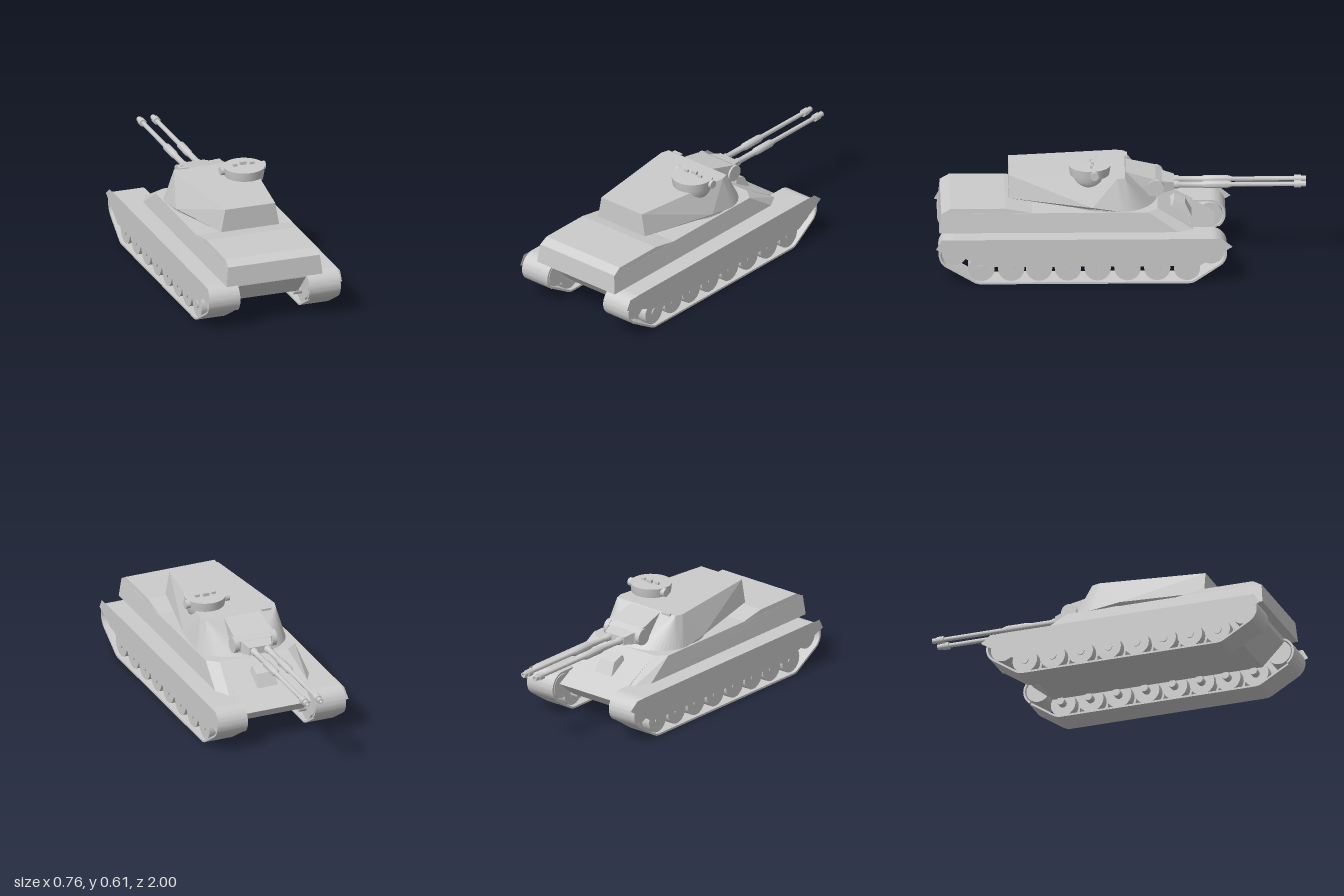
import * as THREE from 'three';
import { toCreasedNormals } from 'three/addons/utils/BufferGeometryUtils.js';
import { ConvexGeometry } from 'three/addons/geometries/ConvexGeometry.js';

const mat = new THREE.MeshStandardMaterial({ color: 0xcccccc });
const sheetMat = new THREE.MeshStandardMaterial({ color: 0xcccccc, side: THREE.DoubleSide });

export function createModel() {
  const model = new THREE.Group();

  const add = (name, geo, parent = model, material = mat) => {
    const mesh = new THREE.Mesh(geo, material);
    mesh.name = name;
    parent.add(mesh);
    return mesh;
  };
  // Faceted solid, mirrored across x, from [half width, y, z] corners
  const solid = (name, corners, parent) => add(name, new ConvexGeometry(
    corners.flatMap(([x, y, z]) => [new THREE.Vector3(x, y, z), new THREE.Vector3(-x, y, z)])), parent);
  // Side profile in (z, y) extruded from x0 to x1
  const slab = (shape, x0, x1) => toCreasedNormals(
    new THREE.ExtrudeGeometry(shape, { depth: x1 - x0, bevelEnabled: false, curveSegments: 14 })
      .rotateY(-Math.PI / 2).translate(x1, 0, 0), 0.6);
  const axle = (r, x0, x1, y, z, sides = 20) =>
    new THREE.CylinderGeometry(r, r, x1 - x0, sides).rotateZ(Math.PI / 2).translate((x0 + x1) / 2, y, z);
  const box = (w, h, d, x, y, z) => new THREE.BoxGeometry(w, h, d).translate(x, y, z);

  // Hull
  solid('lowerHull', [
    [0.2, 0.1, -0.4], [0.2, 0.19, -0.51], [0.2, 0.27, -0.37], [0.2, 0.1, 0.8],
    [0.2, 0.225, 0.92], [0.2, 0.27, 0.92]]);
  solid('upperHull', [
    [0.275, 0.255, 0.975], [0.263, 0.362, 0.965], [0.262, 0.365, 0.46],
    [0.275, 0.255, -0.31], [0.23, 0.255, -0.39], [0.262, 0.365, -0.15], [0.2, 0.365, -0.2]]);
  solid('engineDeck', [
    [0.263, 0.36, 0.965], [0.26, 0.39, 0.915], [0.26, 0.39, 0.62], [0.262, 0.362, 0.46]]);
  solid('glacisPlate', [
    [0.2, 0.365, -0.2], [0.2, 0.19, -0.51], [0.2, 0.25, -0.2]]);
  solid('driverHood', [
    [0.045, 0.34, -0.27], [0.05, 0.355, -0.29], [0.05, 0.33, -0.35],
    [0.06, 0.262, -0.385], [0.06, 0.3, -0.27]]);

  // Running gear
  const R = 0.085, rear = [0.895, 0.17], front = [-0.485, 0.17];
  const deg = Math.PI / 180;
  const loop = (path, r) => {
    path.absarc(0.75, R, r, -90 * deg, -60 * deg);
    path.absarc(...rear, r, -60 * deg, 90 * deg);
    path.absarc(...front, r, 90 * deg, 235 * deg);
    path.absarc(-0.36, R, r, 235 * deg, 270 * deg);
    path.closePath();
    return path;
  };
  const beltShape = loop(new THREE.Shape(), R);
  beltShape.holes.push(loop(new THREE.Path(), R - 0.011));

  const fenderShape = new THREE.Shape();
  fenderShape.absarc(...rear, R, -55 * deg, 90 * deg);
  fenderShape.absarc(...front, R, 90 * deg, 235 * deg);
  fenderShape.absarc(...front, R - 0.011, 235 * deg, 90 * deg, true);
  fenderShape.absarc(...rear, R - 0.011, 90 * deg, -55 * deg, true);

  const skirtShape = new THREE.Shape([
    [0.995, 0.2], [0.965, 0.254], [-0.545, 0.254], [-0.6, 0.21], [-0.42, 0.1], [0.7, 0.1],
  ].map(p => new THREE.Vector2(...p)));

  for (const side of [1, -1]) {
    const gear = new THREE.Group();
    gear.name = side > 0 ? 'leftTrackUnit' : 'rightTrackUnit';
    const span = (a, b) => side > 0 ? [a, b] : [-b, -a];
    add('trackBelt', slab(beltShape, ...span(0.215, 0.378)), gear);
    add('innerFender', slab(fenderShape, ...span(0.198, 0.217)), gear);
    add('sideSkirt', new THREE.ShapeGeometry(skirtShape).rotateY(-Math.PI / 2)
      .translate(side * 0.379, 0, 0), gear, sheetMat);
    for (const z of [0.75, 0.59, 0.44, 0.285, 0.125, -0.035, -0.195, -0.355]) {
      add('roadWheel', axle(0.071, ...span(0.235, 0.285), 0.083, z), gear);
      add('roadWheel', axle(0.071, ...span(0.31, 0.36), 0.083, z), gear);
      add('wheelAxle', axle(0.022, ...span(0.19, 0.366), 0.083, z, 10), gear);
    }
    add('driveSprocket', axle(0.068, ...span(0.2, 0.35), rear[1], rear[0]), gear);
    add('idlerWheel', axle(0.068, ...span(0.2, 0.35), front[1], front[0]), gear);
    model.add(gear);
  }

  // Turret: flat roof, tapered bustle and a rounded front
  const turret = new THREE.Group();
  turret.name = 'turret';
  model.add(turret);
  add('turretRing', new THREE.CylinderGeometry(0.25, 0.25, 0.04, 40).translate(0, 0.375, 0.08), turret);
  const body = [
    [0.143, 0.54, 0.6], [0.166, 0.414, 0.6], [0.218, 0.54, 0.02], [0.205, 0.54, -0.025],
    [0.258, 0.39, 0.15], [0.235, 0.37, 0.15]];
  for (let i = 0; i <= 14; i++) {
    const a = i / 14 * Math.PI / 2;
    body.push([0.26 * Math.cos(a), 0.368, -0.2 * Math.sin(a)]);
  }
  solid('turretBody', body, turret);
  add('sightBlock', box(0.055, 0.012, 0.018, -0.147, 0.539, -0.03), turret);

  // Mantlet with trunnion caps and the gun collar
  solid('mantlet', [
    [0.1, 0.538, -0.02], [0.115, 0.495, -0.19], [0.115, 0.4, -0.2], [0.105, 0.4, -0.02],
    [0.1, 0.475, -0.225], [0.1, 0.415, -0.225]], turret);
  solid('gunCollar', [
    [0.095, 0.48, -0.2], [0.095, 0.405, -0.2], [0.065, 0.46, -0.29], [0.065, 0.418, -0.29]], turret);
  for (const s of [1, -1]) {
    add('trunnionCap', axle(0.045, s * 0.11 - 0.014, s * 0.11 + 0.014, 0.448, -0.19), turret);
  }

  // Twin guns, profile as [radius, distance forward]
  const barrel = [
    [0, 0.27], [0.021, 0.27], [0.021, 0.31], [0.016, 0.32], [0.016, 0.44], [0.021, 0.455],
    [0.021, 0.575], [0.013, 0.6], [0.012, 0.935], [0.02, 0.935], [0.02, 0.972],
    [0.015, 0.972], [0.015, 1], [0.008, 1], [0.008, 0.96], [0, 0.96],
  ].map(p => new THREE.Vector2(...p));
  for (const x of [0.04, -0.04]) {
    add('gunBarrel', toCreasedNormals(new THREE.LatheGeometry(barrel, 16), 0.6)
      .rotateX(-Math.PI / 2).translate(x, 0.438, 0), turret);
  }

  // Commander cupola: bowl with side sights and periscopes
  const cupola = new THREE.Group();
  cupola.name = 'cupola';
  cupola.position.set(0.127, 0, 0.165);
  turret.add(cupola);
  const bowl = [
    [0, 0.465], [0.06, 0.47], [0.088, 0.49], [0.102, 0.52], [0.108, 0.55], [0.113, 0.591], [0, 0.593],
  ].map(p => new THREE.Vector2(...p));
  add('cupolaBowl', toCreasedNormals(new THREE.LatheGeometry(bowl, 32), 0.7), cupola);
  for (const s of [1, -1]) {
    add('sideSight', axle(0.023, s * 0.115 - 0.013, s * 0.115 + 0.013, 0.568, -0.025, 16), cupola);
    add('periscope', box(0.024, 0.016, 0.014, s * 0.048, 0.598, -0.008), cupola);
  }
  add('periscope', box(0.036, 0.02, 0.016, 0, 0.6, -0.016), cupola);

  return model;
}
